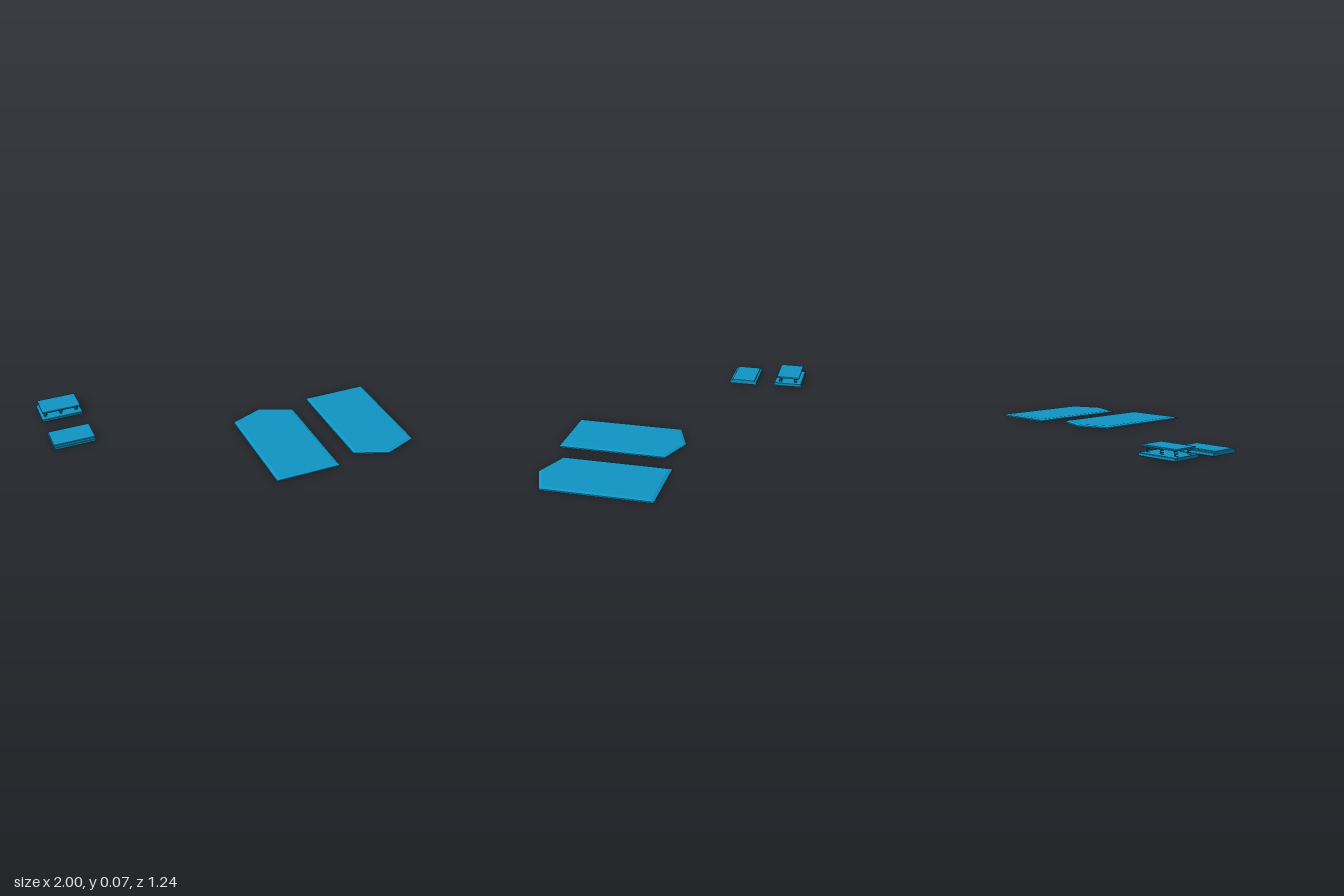
import * as THREE from 'three';

const blue = new THREE.MeshStandardMaterial({ color: 0x1095c4 });

function part(name, geometry, x = 0, y = 0, z = 0) {
  const mesh = new THREE.Mesh(geometry, blue);
  mesh.name = name;
  mesh.position.set(x, y, z);
  return mesh;
}

// Slab whose (z, y) section runs along x, with clipped long edges
function slab(width, depth, height, clip) {
  const d = depth / 2, c = clip;
  const section = new THREE.Shape([
    [-d + c, 0], [d - c, 0], [d, c], [d, height - c],
    [d - c, height], [-d + c, height], [-d, height - c], [-d, c],
  ].map(([a, b]) => new THREE.Vector2(a, b)));
  return new THREE.ExtrudeGeometry(section, { depth: width, bevelEnabled: false })
    .translate(0, 0, -width / 2).rotateY(Math.PI / 2);
}

// Five-sided plate outline with its point towards +z, drawn in (x, z)
function outline(inset) {
  const w = 0.197 - inset, back = -0.353 + inset;
  const shoulder = 0.208 - inset * 0.7, tip = 0.353 - 0.07 + 0.07 - inset * 1.07;
  return [[-w, back], [-w, shoulder + 0.07], [0, tip], [w, shoulder + 0.07], [w, back]];
}

// Plate with upright sides and a bevel round the top
function plateGeometry() {
  const rings = [[0, 0], [0, 0.008], [0.018, 0.015]]
    .map(([inset, y]) => outline(inset).map(([x, z]) => [x, y, z]));
  const p = [];
  const tri = (a, b, c) => p.push(...a, ...b, ...c);
  for (let r = 0; r < 2; r++) {
    for (let i = 0; i < 5; i++) {
      const j = (i + 1) % 5;
      const a = rings[r][i], b = rings[r][j], c = rings[r + 1][j], d = rings[r + 1][i];
      tri(a, c, d);
      tri(a, b, c);
    }
  }
  for (let i = 1; i < 4; i++) {
    tri(rings[2][0], rings[2][i], rings[2][i + 1]);
    tri(rings[0][0], rings[0][i + 1], rings[0][i]);
  }
  const g = new THREE.BufferGeometry();
  g.setAttribute('position', new THREE.Float32BufferAttribute(p, 3));
  g.computeVertexNormals();
  return g;
}

// Coil spring standing on y = 0
class Coil extends THREE.Curve {
  getPoint(t, target = new THREE.Vector3()) {
    const a = t * Math.PI * 2 * 4;
    return target.set(0.009 * Math.cos(a), 0.034 * t, 0.009 * Math.sin(a));
  }
}

export function createModel() {
  const model = new THREE.Group();
  model.name = 'platePartsSet';

  // Two pointed plates lying in opposite directions
  const plate = plateGeometry();
  const backPlate = part('backPointingPlate', plate, 0.277, 0, 0.264);
  backPlate.rotation.y = Math.PI;
  model.add(backPlate, part('frontPointingPlate', plate, 0.8, 0, 0.264));

  // Stepped block
  const block = new THREE.Group();
  block.name = 'steppedBlock';
  block.position.set(-0.875, 0, -0.236);
  block.add(
    part('blockBody', slab(0.25, 0.178, 0.02, 0.003)),
    part('blockStep', slab(0.25, 0.148, 0.012, 0.001), 0, 0.015),
  );
  model.add(block);

  // Sprung block: base, six springs and a top plate
  const sprung = new THREE.Group();
  sprung.name = 'sprungBlock';
  sprung.position.set(-0.875, 0.011, -0.532);
  sprung.add(
    part('sprungBase', slab(0.25, 0.178, 0.018, 0.003)),
    part('sprungTop', slab(0.234, 0.148, 0.01, 0.002), 0, 0.049),
  );
  const coil = new THREE.TubeGeometry(new Coil(), 80, 0.002, 6);
  for (const x of [-0.096, 0, 0.096]) {
    for (const z of [-0.049, 0.049]) sprung.add(part('spring', coil, x, 0.0165, z));
  }
  model.add(sprung);

  return model;
}
